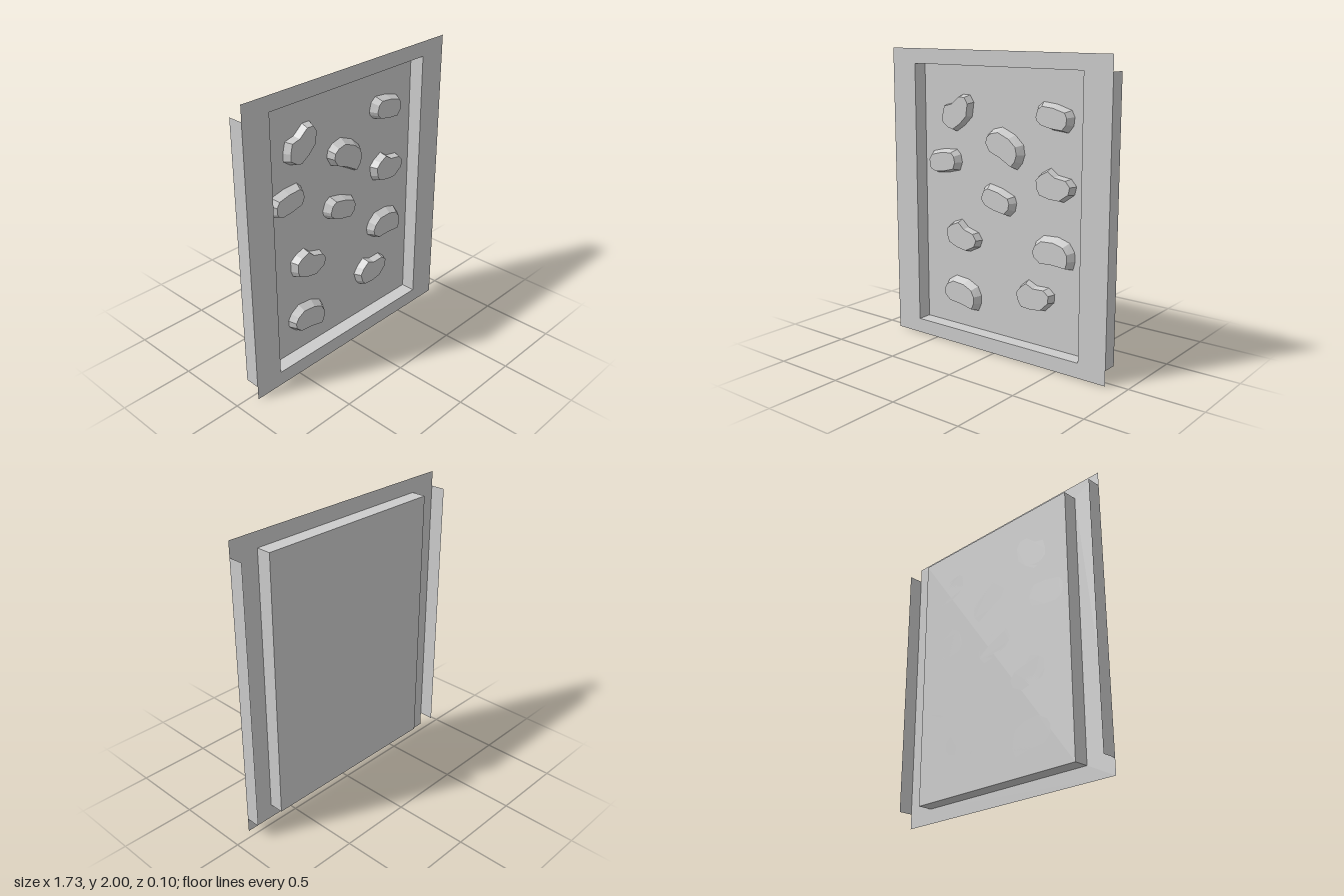
import * as THREE from 'three';

const W = 0.865, H = 2;             // face sheet half width, height
const TW = 0.667, Y0 = 0.1, Y1 = 1.9; // recess half width, bottom, top
const D = 0.05;                     // half depth

// Hold outlines, the inset of their front face, and placements [x, y, degrees]
const holdTypes = [
  {
    name: 'broadHold', inset: [0.83, 0.78], shift: [-0.003, -0.009],
    outline: [[-.159, -.005], [-.138, .042], [-.079, .09], [.032, .095], [.116, .069], [.153, .016],
      [.159, -.042], [.143, -.1], [.021, -.09], [-.09, -.095], [-.148, -.053]],
    places: [[.411, .757, 0], [-.335, .349, -8], [.032, 1.397, -25]],
  },
  {
    name: 'hornHold', inset: [0.87, 0.86], shift: [0, 0],
    outline: [[-.143, .053], [-.1, .085], [-.032, .111], [.021, .063], [.111, .037], [.143, -.011],
      [.122, -.063], [.037, -.106], [-.048, -.09], [-.127, -.058], [-.143, -.016]],
    places: [[-.314, .746, 0], [.427, 1.18, 8], [.281, .437, 18], [-.361, 1.593, 55]],
  },
  {
    name: 'ovalHold', inset: [0.81, 0.77], shift: [0, -0.003],
    outline: [[-.138, .016], [-.116, .074], [-.074, .1], [.026, .079], [.127, .037], [.143, -.005],
      [.132, -.058], [.09, -.1], [-.016, -.079], [-.1, -.048], [-.132, -.011]],
    places: [[-.028, 1.032, 0], [.405, 1.603, 6], [-.486, 1.246, 25]],
  },
];

const toShape = (pts) => new THREE.Shape(pts.map(([x, y]) => new THREE.Vector2(x, y)));
const rect = (hw, y0, y1) => [[-hw, y0], [hw, y0], [hw, y1], [-hw, y1]];

// Extruded outline whose front face is drawn in to slope the sides
function holdGeometry({ outline, inset, shift }) {
  const geo = new THREE.ExtrudeGeometry(toShape(outline), { depth: 0.05, bevelEnabled: false });
  const p = geo.attributes.position;
  for (let i = 0; i < p.count; i++) {
    if (p.getZ(i) > 0.01) p.setXY(i, p.getX(i) * inset[0] + shift[0], p.getY(i) * inset[1] + shift[1]);
  }
  geo.computeVertexNormals();
  return geo;
}

export function createModel() {
  const group = new THREE.Group();
  const sheet = new THREE.MeshStandardMaterial({ color: 0xcccccc, side: THREE.DoubleSide });
  const solid = new THREE.MeshStandardMaterial({ color: 0xcccccc, flatShading: true });
  const add = (name, geo, mat = sheet, parent = group) => {
    const mesh = new THREE.Mesh(geo, mat);
    mesh.name = name;
    parent.add(mesh);
    return mesh;
  };

  // Flat face sheet with a window
  const face = toShape(rect(W, 0, H));
  face.holes.push(toShape(rect(TW, Y0, Y1)));
  add('faceSheet', new THREE.ShapeGeometry(face)).position.z = D;

  // Recessed tray behind the window
  const tray = new THREE.Group();
  tray.name = 'tray';
  group.add(tray);
  const h = Y1 - Y0, mid = (Y0 + Y1) / 2;
  add('trayBack', new THREE.PlaneGeometry(2 * TW, h), sheet, tray).position.set(0, mid, -D);
  for (const s of [-1, 1]) {
    const side = add('traySide', new THREE.PlaneGeometry(2 * D, h), sheet, tray);
    side.position.set(s * TW, mid, 0);
    side.rotation.y = s * Math.PI / 2;
    const end = add(s > 0 ? 'trayTop' : 'trayBottom', new THREE.PlaneGeometry(2 * TW, 2 * D), sheet, tray);
    end.position.set(0, s > 0 ? Y1 : Y0, 0);
    end.rotation.x = -s * Math.PI / 2;

    // Flange folded back along each outer edge
    const flange = add(s > 0 ? 'leftFlange' : 'rightFlange', new THREE.PlaneGeometry(2 * D, h));
    flange.position.set(s * W, mid, 0);
    flange.rotation.y = s * Math.PI / 2;
  }

  // Climbing holds on the tray back
  for (const type of holdTypes) {
    const geo = holdGeometry(type);
    for (const [x, y, deg] of type.places) {
      const hold = add(type.name, geo, solid);
      hold.position.set(x, y, -D);
      hold.rotation.z = THREE.MathUtils.degToRad(deg);
    }
  }
  return group;
}
